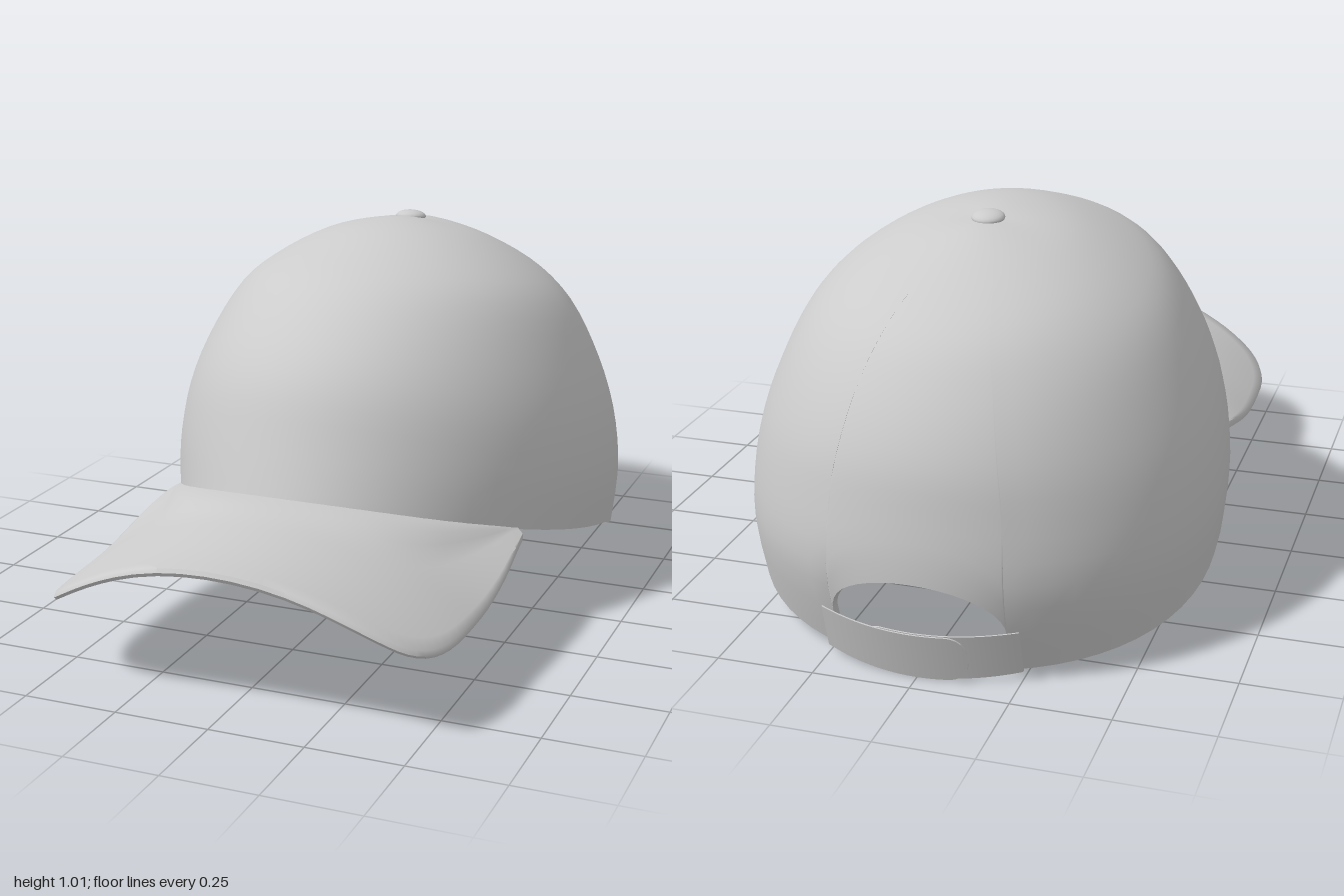
import * as THREE from 'three';
import { mergeVertices, toCreasedNormals } from 'three/addons/utils/BufferGeometryUtils.js';

const { sin, cos, sqrt, abs, max, PI } = Math;
const CENTRE_Z = -0.36;   // the crown's apex sits above this point
const OPEN = 0.37;        // half angle of the opening at the back
const lerp = THREE.MathUtils.lerp;
const smooth = THREE.MathUtils.smoothstep;

const material = new THREE.MeshStandardMaterial({ color: 0xcccccc, side: THREE.DoubleSide });

const spline = (pts) => new THREE.SplineCurve(pts.map(([a, b]) => new THREE.Vector2(a, b)));

// Surface from a rule: point(i, j) gives the corner in column i, row j
function grid(cols, rows, point) {
  const pos = [], index = [];
  for (let i = 0; i <= cols; i++) {
    for (let j = 0; j <= rows; j++) {
      pos.push(...point(i, j));
      if (i < cols && j < rows) {
        const a = i * (rows + 1) + j, b = a + rows + 1;
        index.push(a, b, b + 1, a, b + 1, a + 1);
      }
    }
  }
  const g = new THREE.BufferGeometry();
  g.setAttribute('position', new THREE.Float32BufferAttribute(pos, 3));
  g.setIndex(index);
  const merged = mergeVertices(g, 1e-5);
  merged.computeVertexNormals();
  return merged;
}

function part(name, geometry) {
  const mesh = new THREE.Mesh(geometry, material);
  mesh.name = name;
  return mesh;
}

// Crown profiles from rim to apex: distance from the axis, height
const frontProfile = spline([[0.89, 0.42], [0.84, 0.55], [0.78, 0.69], [0.69, 0.8], [0.56, 0.9],
  [0.42, 0.955], [0.25, 1.0], [0.1, 1.01], [0, 0.995]]);
const sideProfile = spline([[0.605, 0.146], [0.617, 0.3], [0.595, 0.47], [0.54, 0.63], [0.46, 0.78],
  [0.36, 0.875], [0.23, 0.95], [0.11, 0.985], [0, 0.995]]);
const backProfile = spline([[0.56, 0.02], [0.635, 0.25], [0.62, 0.45], [0.59, 0.58], [0.52, 0.71],
  [0.42, 0.82], [0.24, 0.92], [0.1, 0.98], [0, 0.995]]);

// Point on the crown: angle a from the front, v from rim (0) to apex (1)
function crownPoint(a, v, scale = 1) {
  const f = frontProfile.getPoint(v), s = sideProfile.getPoint(v), b = backProfile.getPoint(v);
  const c = cos(a);
  const y = s.y + (f.y - b.y) / 2 * c + ((f.y + b.y) / 2 - s.y) * c * c;
  return [scale * s.x * sin(a), y, CENTRE_Z + scale * (c > 0 ? f.x : b.x) * c];
}

// The v at which the crown reaches a given height
function vAtHeight(a, y) {
  let lo = 0, hi = 0.6;
  for (let k = 0; k < 24; k++) {
    const mid = (lo + hi) / 2;
    if (crownPoint(a, mid)[1] < y) lo = mid; else hi = mid;
  }
  return lo;
}

// Columns round the crown: the rim, then the arched opening
function crownColumns() {
  const cols = [], N = 60, M = 20, edge = PI - OPEN;
  for (let i = 0; i <= N; i++) cols.push({ a: lerp(-edge, edge, i / N), v0: 0 });
  for (let i = 0; i <= M; i++) {
    const d = sin(lerp(-PI / 2, PI / 2, i / M));
    const a = PI + d * (OPEN - 0.001);
    cols.push({ a, v0: vAtHeight(a, 0.14 + 0.135 * sqrt(max(0, 1 - d * d))) });
  }
  cols.push({ a: 2 * PI - edge, v0: 0 });
  return cols;
}

function crown(cols) {
  const rows = 28;
  return part('crown', grid(cols.length - 1, rows,
    (i, j) => crownPoint(cols[i].a, lerp(cols[i].v0, 1, j / rows))));
}

// Inner band lining the rim and the arch, with its hem and top edge
function sweatband(cols) {
  const rows = 8;
  const tops = cols.map(({ a }) => {
    const [x, y] = crownPoint(a, 0);
    const arch = cos(a) < 0 && abs(x) < 0.32 ? 0.14 + 0.23 * sqrt(1 - (x / 0.32) ** 2) : 0;
    return vAtHeight(a, max(y + 0.18, arch));
  });
  const geometry = grid(cols.length - 1, rows, (i, j) => {
    const k = (Math.min(max(j, 1), rows - 1) - 1) / (rows - 2);
    const scale = j === 0 || j === rows ? 0.998 : 0.972;
    return crownPoint(cols[i].a, lerp(cols[i].v0, tops[i], k), scale);
  });
  return part('sweatband', toCreasedNormals(geometry, 0.8));
}

// Curved brim: spans from the crown's rim to a rounded outline
function brim() {
  const half = [[0.25, 0.967], [0.4, 0.93], [0.48, 0.87], [0.52, 0.75], [0.53, 0.55], [0.53, 0.35], [0.515, 0.16]];
  const outline = spline([...half.map(([x, z]) => [-x, z]).reverse(), [0, 0.99], ...half]);
  const cols = 56, steps = 12, thick = 0.02;
  const geometry = grid(cols, steps * 2 + 2, (i, j) => {
    const t = i / cols;
    const a = lerp(-0.96, 0.96, t);
    const inner = crownPoint(a, 0.01, 0.985), outer = outline.getPoint(t);
    const under = j > steps + 1, lip = j === steps + 1;
    const w = lip ? 1.012 : (under ? steps * 2 + 2 - j : j) / steps;
    const x = lerp(inner[0], outer.x, w), z = lerp(inner[2], outer.y, w);
    const arc = 0.42 - 0.02 * smooth(z, 0.53, 1) - (0.15 + 0.06 * smooth(z, 0.15, 0.6)) * (x / 0.53) ** 2;
    const y = lerp(inner[1], arc, smooth(w, 0, 0.35));
    return [x, y - (lip ? thick / 2 : under ? thick : 0), z];
  });
  return part('brim', toCreasedNormals(geometry, 1.0));
}

// One half of the closing strap, running from its side to a rounded free end
function strap(side, offset) {
  const cols = 30, rows = 6, start = 0.25, end = -0.13, round = 0.05;
  const thick = 0.005;
  const geometry = grid(cols, rows * 2 + 2, (i, j) => {
    const m = rows * 2 + 2, outer = j <= rows || j === m;
    const k = j === m ? 0 : outer ? j / rows : (rows * 2 + 1 - j) / rows;
    const x = lerp(start, end, sin(i / cols * PI / 2));
    const q = max(0, (end + round - x) / round);          // 0..1 along the rounded tip
    const inset = round * (1 - sqrt(max(0, 1 - q * q)));
    const bend = (x / 0.25) ** 2;
    const bottom = 0.002 + 0.022 * bend + inset, top = 0.136 + 0.012 * bend - inset;
    const y = lerp(bottom, top, k);
    const z = -0.945 - 0.3 * y + 0.06 * bend + offset + (outer ? 0 : thick);
    return [side * x, y, z];
  });
  return part(side > 0 ? 'leftStrap' : 'rightStrap', toCreasedNormals(geometry, 0.7));
}

function button() {
  const mesh = part('topButton', new THREE.SphereGeometry(0.043, 20, 12));
  mesh.scale.y = 0.42;
  mesh.position.set(0, 0.995, CENTRE_Z - 0.005);
  mesh.rotation.x = -0.1;
  return mesh;
}

export function createModel() {
  const model = new THREE.Group();
  model.name = 'cap';
  const cols = crownColumns();
  model.add(crown(cols), sweatband(cols), brim(), strap(1, 0), strap(-1, 0.008), button());
  return model;
}
